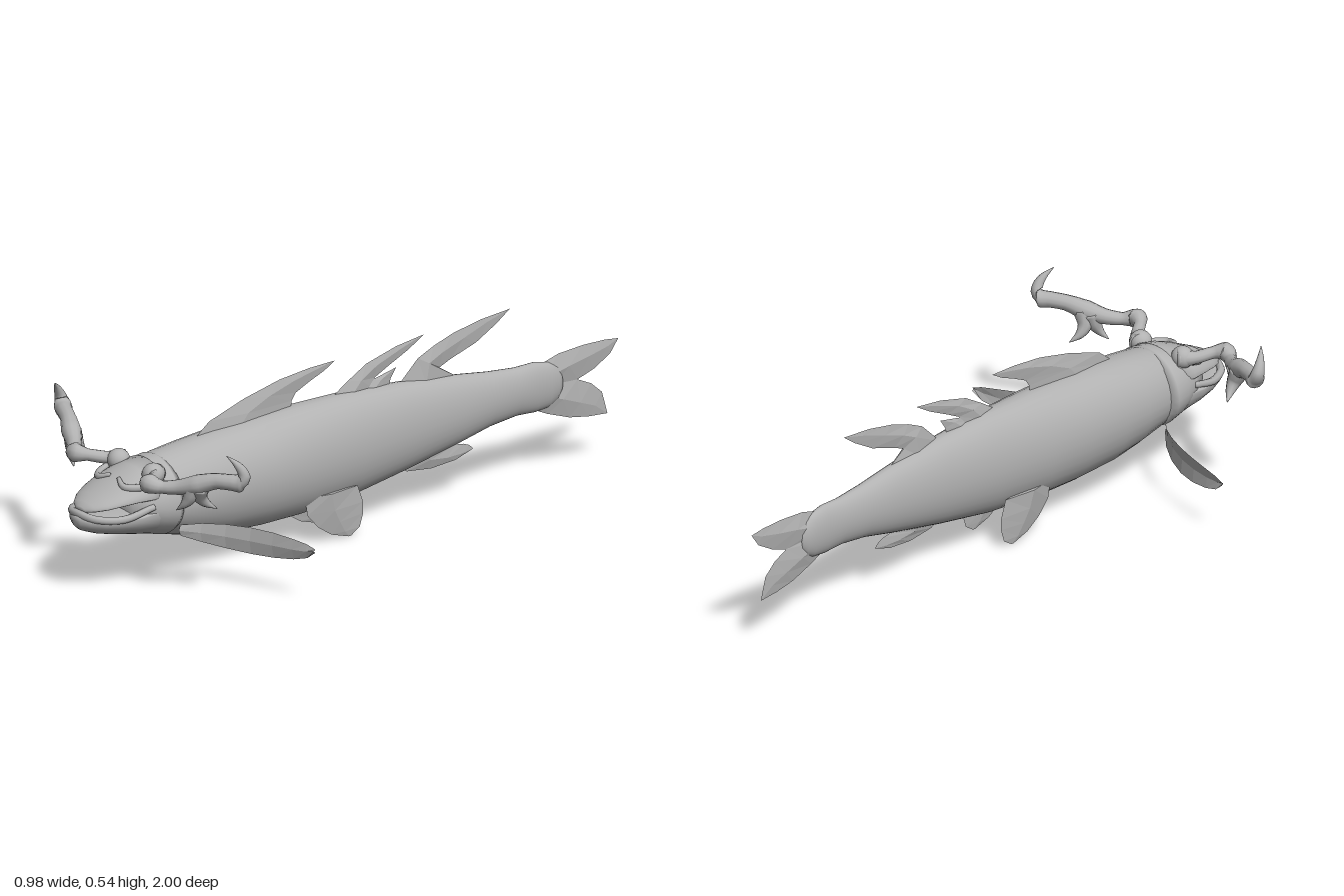
import * as THREE from 'three';

const grey = new THREE.MeshStandardMaterial({ color: 0xb2b2b2, side: THREE.DoubleSide });
grey.name = 'plain grey';

// Skin a list of equal-length point rings; optionally closed round the ring and capped
function skin(rings, { closed = true, cap = true, flat = false } = {}) {
  const all = rings.slice();
  if (cap) {
    const centre = (r) => {
      const c = r.reduce((s, p) => s.add(p), new THREE.Vector3()).divideScalar(r.length);
      return r.map(() => c);
    };
    all.unshift(centre(rings[0]));
    all.push(centre(rings[rings.length - 1]));
  }
  const n = all[0].length, index = [];
  for (let i = 0; i < all.length - 1; i++) {
    for (let j = 0; j < (closed ? n : n - 1); j++) {
      const a = i * n + j, b = i * n + (j + 1) % n;
      index.push(a, a + n, b, b, a + n, b + n);
    }
  }
  let g = new THREE.BufferGeometry().setFromPoints(all.flat());
  g.setIndex(index);
  if (flat) g = g.toNonIndexed();
  g.computeVertexNormals();
  return g;
}

// Cross-sections along z: [z, top, widest height, bottom, half width]
function hull(stations, sides = 32) {
  return skin(stations.map(([z, top, mid, bottom, w]) =>
    Array.from({ length: sides }, (_, j) => {
      const a = (j / sides) * Math.PI * 2, s = Math.sin(a);
      return new THREE.Vector3(Math.cos(a) * w, mid + s * (s > 0 ? top - mid : mid - bottom), z);
    })));
}

// Tapered tube through points [x, y, z, radius]
function limb(points, steps = 24, sides = 12) {
  const curve = new THREE.CatmullRomCurve3(points.map((p) => new THREE.Vector3(p[0], p[1], p[2])));
  const frames = curve.computeFrenetFrames(steps);
  const rings = [];
  for (let i = 0; i <= steps; i++) {
    const f = (i / steps) * (points.length - 1), k = Math.min(Math.floor(f), points.length - 2);
    const r = THREE.MathUtils.lerp(points[k][3], points[k + 1][3], f - k);
    const c = curve.getPoint(i / steps);
    rings.push(Array.from({ length: sides }, (_, j) => {
      const a = (-j / sides) * Math.PI * 2;
      return c.clone().addScaledVector(frames.normals[i], Math.cos(a) * r)
        .addScaledVector(frames.binormals[i], Math.sin(a) * r);
    }));
  }
  return skin(rings);
}

// Lens-shaped fin from leading and trailing edges given as [z, y], root to tip
function fin(lead, trail, thick) {
  return skin(lead.map(([z, y], i) => {
    const [tz, ty] = trail[i], t = thick * (1 - i / (lead.length - 1));
    const at = (x, k) => new THREE.Vector3(x, y + (ty - y) * k, z + (tz - z) * k);
    return [at(0, 0), at(t, 0.45), at(0, 1), at(-t, 0.45)];
  }), { flat: true });
}

export function createModel() {
  const model = new THREE.Group();
  const add = (name, geometry, parent = model) => {
    const mesh = new THREE.Mesh(geometry, grey);
    mesh.name = name;
    parent.add(mesh);
    return mesh;
  };

  // Long tapering trunk with a rounded tail root
  add('body', hull([
    [0.80, 0.35, 0.25, 0.16, 0.095], [0.70, 0.38, 0.245, 0.13, 0.115], [0.60, 0.392, 0.245, 0.105, 0.121],
    [0.50, 0.402, 0.245, 0.087, 0.122], [0.35, 0.41, 0.245, 0.08, 0.12], [0.20, 0.415, 0.245, 0.08, 0.107],
    [0, 0.415, 0.25, 0.095, 0.088], [-0.20, 0.402, 0.26, 0.128, 0.068], [-0.40, 0.38, 0.27, 0.168, 0.052],
    [-0.52, 0.363, 0.277, 0.195, 0.042], [-0.62, 0.354, 0.28, 0.206, 0.034], [-0.69, 0.356, 0.28, 0.202, 0.029],
    [-0.74, 0.346, 0.278, 0.207, 0.025], [-0.77, 0.33, 0.276, 0.222, 0.02], [-0.787, 0.302, 0.275, 0.245, 0.012],
  ]));

  // Gill covers flare just behind the jaws
  add('gillCover', hull([
    [0.86, 0.33, 0.26, 0.19, 0.09], [0.81, 0.355, 0.255, 0.162, 0.113], [0.76, 0.372, 0.25, 0.145, 0.126],
    [0.715, 0.378, 0.245, 0.134, 0.13], [0.695, 0.372, 0.245, 0.14, 0.12],
  ]));
  add('upperJaw', hull([
    [0.985, 0.272, 0.263, 0.254, 0.022], [0.97, 0.285, 0.267, 0.258, 0.052], [0.94, 0.3, 0.274, 0.264, 0.079],
    [0.90, 0.318, 0.282, 0.27, 0.098], [0.85, 0.342, 0.287, 0.275, 0.111], [0.80, 0.362, 0.287, 0.27, 0.115],
    [0.75, 0.375, 0.287, 0.26, 0.11],
  ]));
  add('lowerJaw', hull([
    [1.0, 0.245, 0.23, 0.212, 0.02], [0.985, 0.25, 0.232, 0.2, 0.052], [0.95, 0.248, 0.232, 0.187, 0.082],
    [0.90, 0.247, 0.232, 0.175, 0.102], [0.84, 0.25, 0.235, 0.163, 0.115], [0.78, 0.26, 0.24, 0.15, 0.118],
    [0.73, 0.26, 0.24, 0.145, 0.11],
  ]));
  add('lowerLip', limb([
    [-0.112, 0.262, 0.80, 0.01], [-0.098, 0.24, 0.90, 0.012], [-0.06, 0.244, 0.97, 0.012],
    [0, 0.25, 0.988, 0.012], [0.06, 0.244, 0.97, 0.012], [0.098, 0.24, 0.90, 0.012], [0.112, 0.262, 0.80, 0.01],
  ], 36, 8));

  // Median fins
  add('frontDorsalFin', fin(
    [[0.57, 0.385], [0.51, 0.432], [0.38, 0.475], [0.25, 0.505], [0.14, 0.517], [0.045, 0.52]],
    [[0.21, 0.40], [0.205, 0.43], [0.19, 0.452], [0.14, 0.475], [0.085, 0.497], [0.045, 0.52]], 0.013));
  add('middleDorsalFin', fin(
    [[0.07, 0.40], [0, 0.445], [-0.07, 0.485], [-0.18, 0.515], [-0.285, 0.53]],
    [[-0.10, 0.40], [-0.10, 0.435], [-0.15, 0.46], [-0.225, 0.495], [-0.285, 0.53]], 0.012));
  add('smallDorsalFin', fin(
    [[-0.03, 0.40], [-0.09, 0.43], [-0.18, 0.45]],
    [[-0.15, 0.39], [-0.16, 0.42], [-0.18, 0.45]], 0.01));
  add('rearDorsalFin', fin(
    [[-0.18, 0.385], [-0.26, 0.46], [-0.32, 0.487], [-0.39, 0.51], [-0.49, 0.53], [-0.6, 0.54]],
    [[-0.41, 0.37], [-0.34, 0.415], [-0.38, 0.432], [-0.475, 0.463], [-0.55, 0.505], [-0.6, 0.54]], 0.012));
  add('analFin', fin(
    [[-0.16, 0.15], [-0.22, 0.12], [-0.31, 0.11], [-0.40, 0.117], [-0.465, 0.138]],
    [[-0.42, 0.19], [-0.40, 0.165], [-0.43, 0.16], [-0.45, 0.152], [-0.465, 0.138]], 0.012));
  add('upperTailFin', fin(
    [[-0.68, 0.335], [-0.78, 0.363], [-0.87, 0.37], [-0.95, 0.369], [-1, 0.363]],
    [[-0.74, 0.25], [-0.85, 0.268], [-0.91, 0.288], [-0.97, 0.322], [-1, 0.363]], 0.014));
  add('lowerTailFin', fin(
    [[-0.68, 0.212], [-0.74, 0.185], [-0.82, 0.157], [-0.89, 0.145], [-0.96, 0.14]],
    [[-0.74, 0.30], [-0.85, 0.268], [-0.90, 0.245], [-0.94, 0.21], [-0.96, 0.14]], 0.014));

  // Paired parts, built on the left and mirrored in x
  const pelvic = fin(
    [[0.215, 0.15], [0.205, 0.095], [0.165, 0.05], [0.115, 0.018], [0.055, 0]],
    [[0.02, 0.15], [0, 0.095], [0, 0.06], [0.013, 0.02], [0.045, 0]], 0.016);
  pelvic.translate(0.075, 0, 0);

  // Swept-back pectoral fin as a curved sheet: [x, z, upper y, lower y]
  const pectoral = skin([
    [0.095, 0.69, 0.178, 0.145], [0.14, 0.645, 0.186, 0.128], [0.2, 0.602, 0.19, 0.116], [0.27, 0.565, 0.191, 0.11],
    [0.34, 0.538, 0.189, 0.112], [0.41, 0.518, 0.184, 0.122], [0.46, 0.506, 0.179, 0.137], [0.49, 0.5, 0.17, 0.16],
  ].map(([x, z, top, low]) => [0, 0.5, 1].map((k) =>
    new THREE.Vector3(x, top + (low - top) * k, z + (k === 0.5 ? 0.006 : 0)))),
  { closed: false, cap: false, flat: true });

  for (const [side, s] of [['left', 1], ['right', -1]]) {
    const half = new THREE.Group();
    half.name = side + 'Side';
    half.scale.x = s;
    model.add(half);
    add(side + 'PelvicFin', pelvic, half);
    add(side + 'PectoralFin', pectoral, half);

    // Eye mound and heavy brow where the antler roots
    const eye = add(side + 'EyeMound', new THREE.SphereGeometry(0.034, 20, 14), half);
    eye.position.set(0.082, 0.35, 0.78);
    add(side + 'Brow', limb([[0.02, 0.338, 0.86, 0.006], [0.06, 0.325, 0.872, 0.011],
      [0.095, 0.325, 0.835, 0.012], [0.108, 0.34, 0.775, 0.008]], 16, 8), half);

    // Antler: stalk, knob, flattened beam, upturned tip and two lower tines
    const antler = new THREE.Group();
    antler.name = side + 'Antler';
    half.add(antler);
    add('antlerBeam', limb([
      [0.075, 0.35, 0.765, 0.03], [0.115, 0.352, 0.80, 0.019], [0.145, 0.362, 0.845, 0.018],
      [0.175, 0.365, 0.866, 0.03], [0.21, 0.36, 0.845, 0.019], [0.25, 0.365, 0.815, 0.023],
      [0.30, 0.38, 0.785, 0.03], [0.35, 0.398, 0.757, 0.024], [0.395, 0.402, 0.735, 0.024],
      [0.425, 0.405, 0.718, 0.027], [0.434, 0.435, 0.72, 0.018], [0.426, 0.465, 0.738, 0.011],
      [0.407, 0.492, 0.762, 0.001],
    ], 60), antler);
    add('innerTine', limb([[0.285, 0.375, 0.79, 0.03], [0.278, 0.34, 0.797, 0.023],
      [0.266, 0.315, 0.808, 0.013], [0.243, 0.293, 0.82, 0.001]], 14, 10), antler);
    add('outerTine', limb([[0.305, 0.375, 0.78, 0.03], [0.293, 0.342, 0.772, 0.023],
      [0.295, 0.316, 0.752, 0.014], [0.31, 0.295, 0.722, 0.001]], 14, 10), antler);
  }
  return model;
}
